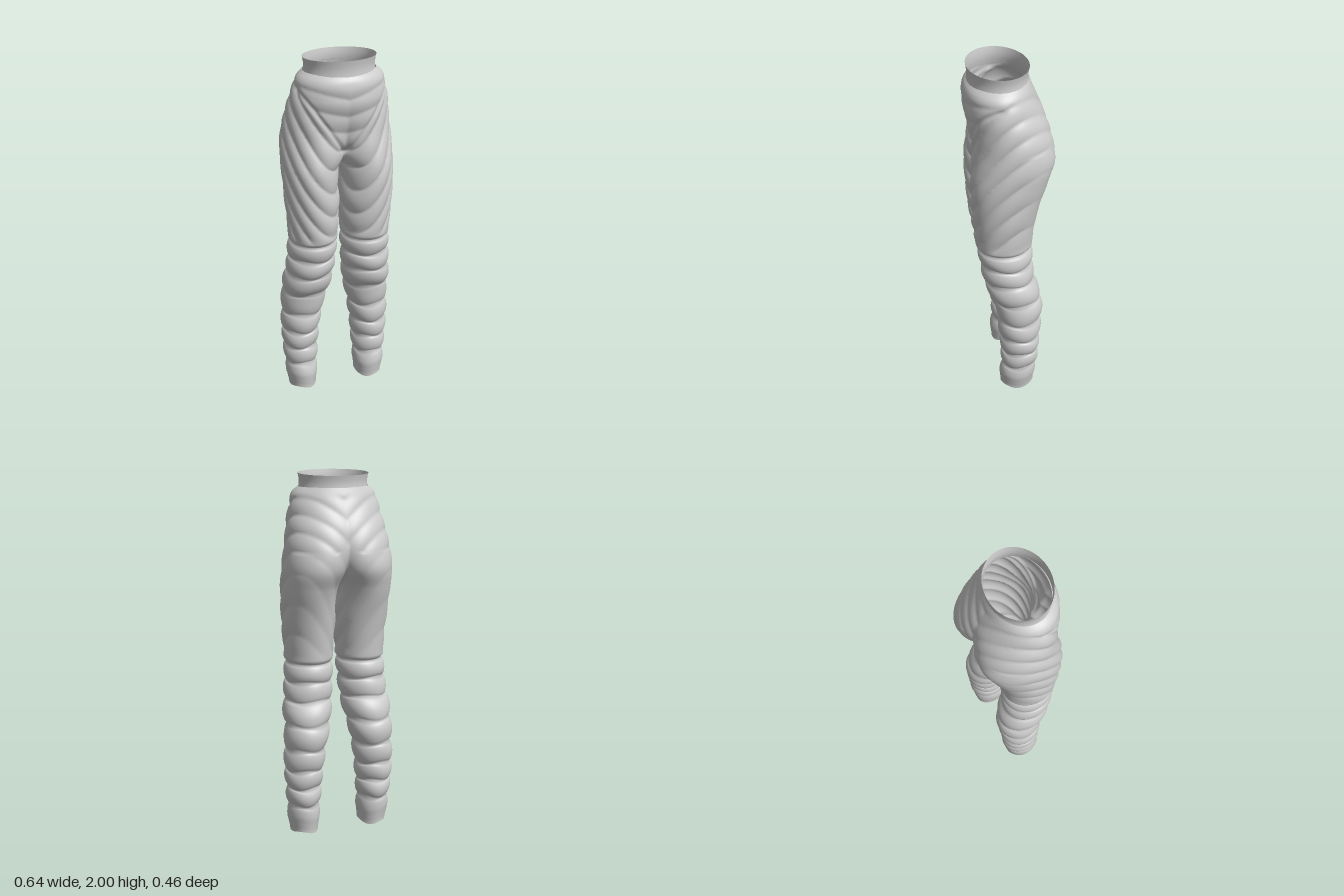
import * as THREE from 'three';
import { mergeGeometries, mergeVertices } from 'three/addons/utils/BufferGeometryUtils.js';

// height, inner x, outer x, front z, back z of one leg.
// A negative inner x means the section is cut by the centre plane (hips).
const PROFILE = [
  [0.00, 0.125, 0.280, 0.070, -0.120],
  [0.10, 0.118, 0.295, 0.075, -0.130],
  [0.20, 0.112, 0.304, 0.068, -0.143],
  [0.30, 0.105, 0.312, 0.070, -0.148],
  [0.40, 0.095, 0.316, 0.078, -0.156],
  [0.50, 0.080, 0.314, 0.086, -0.163],
  [0.60, 0.060, 0.311, 0.097, -0.167],
  [0.70, 0.040, 0.308, 0.138, -0.148],
  [0.80, 0.027, 0.296, 0.163, -0.120],
  [0.90, 0.020, 0.288, 0.176, -0.114],
  [1.00, 0.014, 0.284, 0.195, -0.112],
  [1.20, 0.004, 0.297, 0.213, -0.138],
  [1.40, 0.000, 0.304, 0.217, -0.193],
  [1.50, -0.05, 0.303, 0.208, -0.228],
  [1.60, -0.11, 0.292, 0.202, -0.222],
  [1.70, -0.17, 0.276, 0.215, -0.195],
  [1.80, -0.23, 0.256, 0.232, -0.155],
  [1.90, -0.222, 0.222, 0.222, -0.115],
  [1.925, -0.192, 0.192, 0.200, -0.105]
];
const section = new THREE.CubicInterpolant(
  PROFILE.map(p => p[0]), PROFILE.flatMap(p => p.slice(1)), 4);

// heights of the stitched seams between the padded rings
const SEAMS = [0.01, 0.17, 0.275, 0.38, 0.50, 0.64, 0.77, 0.875, 0.975];
const SEGS = 80;

const pad = (u, power) => 1 - Math.pow(Math.abs(Math.sin(Math.PI * u)), power);
const smooth = THREE.MathUtils.smoothstep;

// rows of the loft: each has a height and its place within a padded ring
function makeRows() {
  const rows = [];
  for (let i = 0; i < SEAMS.length - 1; i++) {
    for (let j = 0; j < 10; j++) {
      rows.push({ y: THREE.MathUtils.lerp(SEAMS[i], SEAMS[i + 1], j / 10), u: j / 10, ring: i });
    }
  }
  for (let j = 0; j <= 100; j++) {
    rows.push({ y: THREE.MathUtils.lerp(0.975, 1.925, j / 100), u: 0, ring: -1 });
  }
  return rows;
}

// inward depth of the quilting on the thighs and hips
function foldDepth(x, y, z) {
  const fade = smooth(y, 0.98, 1.06) * (1 - smooth(y, 1.85, 1.9));
  const back = 1 - smooth(z, -0.12, 0.02);
  // diagonal folds, softer over the seat and the back of the thigh
  const diagonal = 0.013 * pad((y - 1.1 * x + 0.8 * z) / 0.135, 0.7);
  let depth = diagonal * THREE.MathUtils.lerp(1, y > 1.6 ? 0.6 : 0.25, back);
  // V-shaped front panel with flat padded bands
  const s = y - 1.5 - 1.4 * x;
  const front = smooth(z, 0.02, 0.08);
  const inside = smooth(s, -0.01, 0.03) * front;
  const bands = 0.007 * pad((y - 0.25 * x) / 0.095, 0.8);
  depth = THREE.MathUtils.lerp(depth, bands, inside);
  depth += 0.010 * Math.exp(-((s / 0.018) ** 2)) * front;
  // stitched line above the knee rings
  return depth * fade + 0.018 * Math.exp(-(((y - 0.975) / 0.012) ** 2));
}

// one half of the trousers; side is 1 for left, -1 for right
function halfTrousers(side) {
  const rows = makeRows(), pos = [], index = [];
  rows.forEach(({ y, u, ring }, r) => {
    const [xi, xo, zf, zb] = section.evaluate(y);
    const xc = (xo + xi) / 2, rx = (xo - xi) / 2;
    const zc = (zf + zb) / 2, rz = (zf - zb) / 2;
    const open = xi < 0;
    const a = Math.asin(THREE.MathUtils.clamp(xc / rx, 0, 1));
    for (let i = 0; i <= SEGS; i++) {
      const t = -a + (Math.PI + 2 * a) * i / SEGS;
      const sn = Math.sin(t), cs = Math.cos(t);
      let x = xc + rx * sn, z = zc + rz * cs, py = y;
      let d;
      if (ring >= 0) {
        d = (r === 0 ? 0.004 : 0.019 * pad(u, 0.6)) - 0.003;
        py += 0.007 * Math.sin(3 * t + ring * 1.7) * (1 - smooth(y, 0.85, 0.975));
        if (ring === 0 && u < 0.5) d *= 0.3;
      } else {
        d = foldDepth(x, y, z);
      }
      x = Math.max(0, x - d * sn);
      z -= d * cs;
      if (open && (i === 0 || i === SEGS)) x = 0;
      pos.push(side * x, Math.max(0, py), z);
      if (r > 0 && i > 0) {
        const p = r * (SEGS + 1) + i, q = p - SEGS - 1;
        if (side > 0) index.push(q - 1, q, p, q - 1, p, p - 1);
        else index.push(q - 1, p, q, q - 1, p - 1, p);
      }
    }
  });
  const g = new THREE.BufferGeometry();
  g.setAttribute('position', new THREE.Float32BufferAttribute(pos, 3));
  g.setIndex(index);
  return g;
}

// open oval band, slightly lower at the back
function waistband() {
  const g = new THREE.CylinderGeometry(1, 1, 1, 80, 6, true);
  const p = g.attributes.position;
  for (let i = 0; i < p.count; i++) {
    const v = p.getY(i) + 0.5, x = p.getX(i), z = p.getZ(i);
    const flare = 1 - 0.035 * Math.sin(Math.PI * v);
    p.setXYZ(i, x * 0.192 * flare, 1.9 + v * (0.093 + 0.007 * z), 0.05 + z * 0.16 * flare);
  }
  g.computeVertexNormals();
  return g;
}

export function createModel() {
  const model = new THREE.Group();
  model.name = 'paddedTrousers';
  const cloth = new THREE.MeshStandardMaterial({ color: 0xcccccc, side: THREE.DoubleSide });
  const add = (name, geometry) => {
    const mesh = new THREE.Mesh(geometry, cloth);
    mesh.name = name;
    model.add(mesh);
  };

  // hips and both legs, welded along the centre seam
  const body = mergeVertices(mergeGeometries([halfTrousers(1), halfTrousers(-1)]), 1e-5);
  body.computeVertexNormals();
  add('hipsAndLegs', body);
  add('waistband', waistband());
  return model;
}
